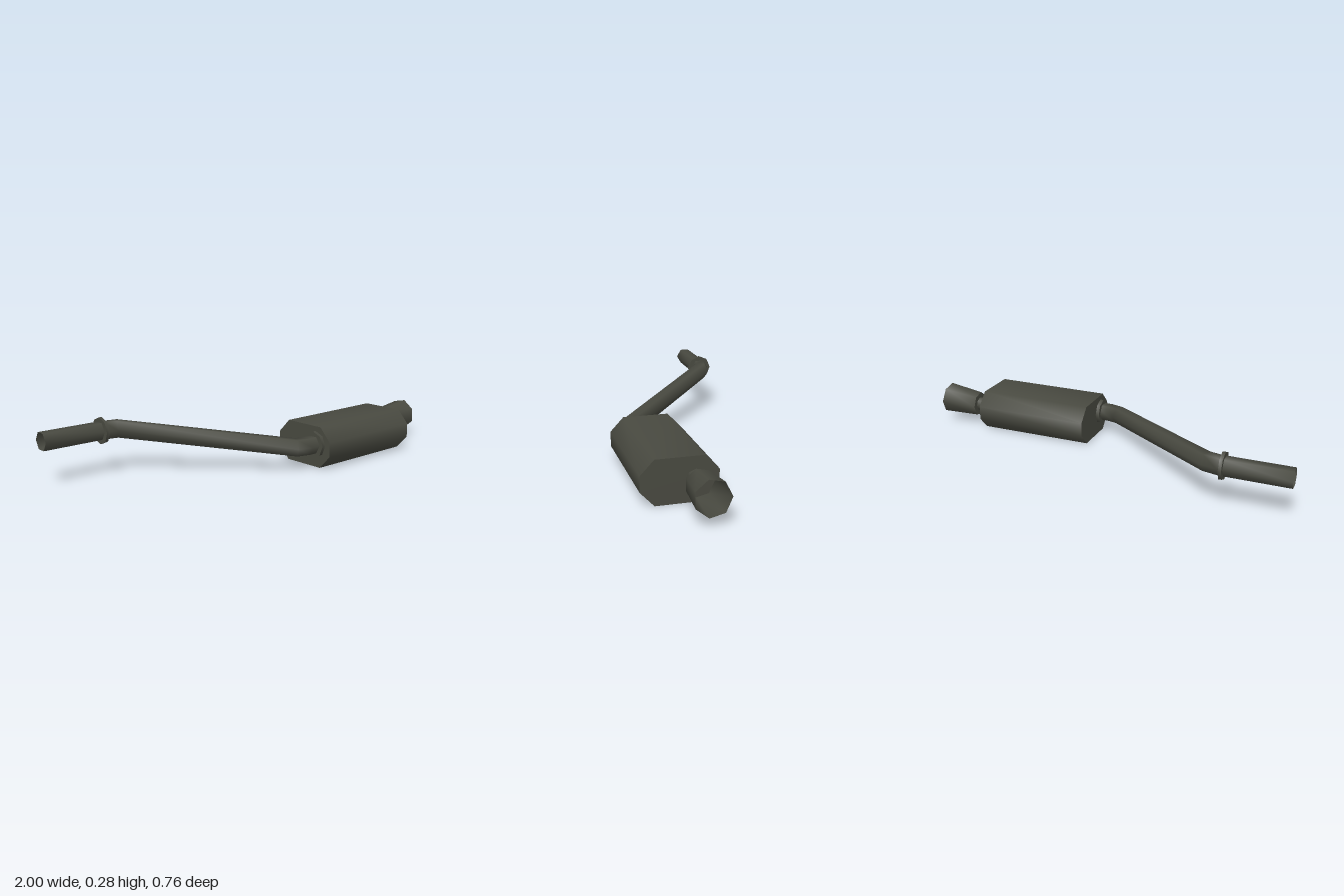
import * as THREE from 'three';

const steel = new THREE.MeshStandardMaterial({ color: 0x484940, side: THREE.DoubleSide });
steel.name = 'dark steel';

// Regular cross-section around (x, y, z); yaw turns it, lean slants its plane
function ring(x, y, z, r, sides, { start = 0, yaw = 0, lean = 0 } = {}) {
  return Array.from({ length: sides }, (_, i) => {
    const a = start + (i / sides) * Math.PI * 2;
    const h = r * Math.cos(a), v = r * Math.sin(a);
    return new THREE.Vector3(x - h * Math.sin(yaw) - v * lean, y + v, z + h * Math.cos(yaw));
  });
}

// Smooth skin through cross-sections, with optional flat ends
function loft(name, rings, capStart, capEnd) {
  const n = rings[0].length, pos = [], index = [];
  rings.forEach((r) => r.forEach((p) => pos.push(p.x, p.y, p.z)));
  for (let k = 0; k < rings.length - 1; k++) {
    for (let i = 0; i < n; i++) {
      const j = (i + 1) % n, a = k * n, b = a + n;
      index.push(a + i, b + i, a + j, a + j, b + i, b + j);
    }
  }
  const cap = (r, flip) => {
    const base = pos.length / 3;
    r.forEach((p) => pos.push(p.x, p.y, p.z));
    for (let i = 1; i < n - 1; i++) {
      if (flip) index.push(base, base + i + 1, base + i);
      else index.push(base, base + i, base + i + 1);
    }
  };
  if (capStart) cap(rings[0], false);
  if (capEnd) cap(rings[rings.length - 1], true);
  const g = new THREE.BufferGeometry();
  g.setAttribute('position', new THREE.Float32BufferAttribute(pos, 3));
  g.setIndex(index);
  g.computeVertexNormals();
  const mesh = new THREE.Mesh(g, steel);
  mesh.name = name;
  return mesh;
}

// Short straight round part along x
function disc(name, x0, x1, y, z, r, sides) {
  return loft(name, [ring(x0, y, z, r, sides), ring(x1, y, z, r, sides)], true, true);
}

export function createModel() {
  const group = new THREE.Group();
  group.name = 'exhaust';

  // Hexagonal inlet pipe, bent twice, open at its free end
  const path = [
    [-1, 0.21, -0.314], [-0.68, 0.21, -0.314], [-0.61, 0.21, -0.298],
    [0.025, 0.115, 0.268], [0.085, 0.115, 0.284], [0.15, 0.115, 0.284],
  ];
  const pipe = path.map(([x, y, z], i) => {
    const a = path[Math.max(i - 1, 0)], b = path[Math.min(i + 1, path.length - 1)];
    const inYaw = i ? Math.atan2(z - a[2], x - a[0]) : 0;
    const outYaw = i < path.length - 1 ? Math.atan2(b[2] - z, b[0] - x) : 0;
    return ring(x, y, z, 0.046, 6, { yaw: (inYaw + outYaw) / 2 });
  });
  group.add(loft('inletPipe', pipe, false, false));

  // Flange on the pipe and collar at the muffler
  group.add(disc('flange', -0.699, -0.684, 0.21, -0.313, 0.065, 8));
  group.add(disc('collar', 0.122, 0.142, 0.115, 0.284, 0.065, 8));

  // Eight-sided muffler box
  const outline = [
    [0.378, 0.066], [0.378, 0.137], [0.316, 0.203], [0.1, 0.203],
    [0.037, 0.137], [0.037, 0.066], [0.1, 0], [0.316, 0],
  ];
  const section = (x) => outline.map(([z, y]) => new THREE.Vector3(x, y, z));
  group.add(loft('muffler', [section(0.14), section(0.74)], true, true));

  // Outlet pipe
  group.add(disc('outletPipe', 0.735, 0.805, 0.108, 0.143, 0.037, 8));

  // Flared seven-sided tip, slanted and open at the end
  const start = Math.PI;
  group.add(loft('tip', [
    ring(0.8, 0.108, 0.143, 0.064, 7, { start }),
    ring(0.994, 0.118, 0.147, 0.08, 7, { start, lean: 0.07 }),
  ], true, false));

  return group;
}
